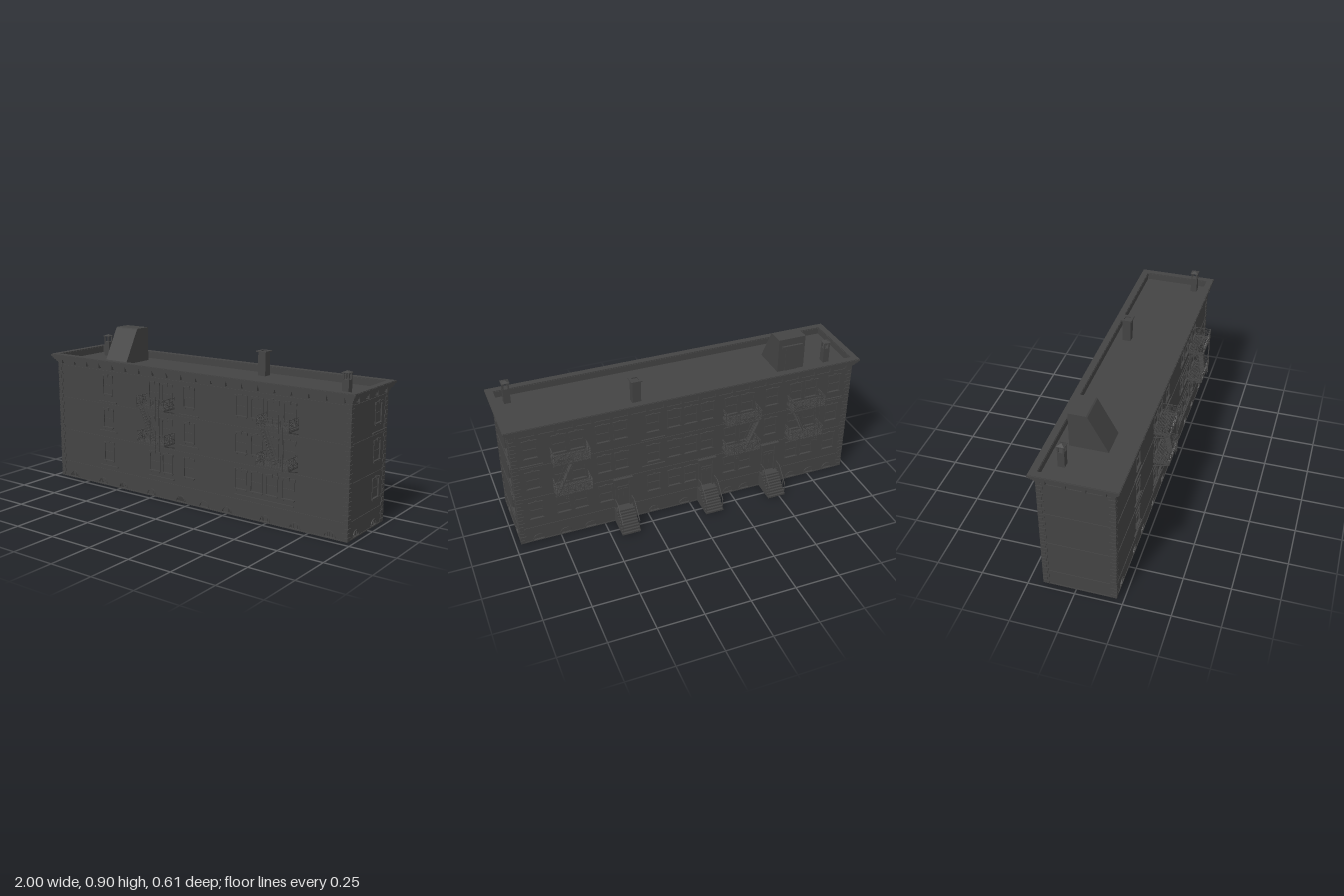
import * as THREE from 'three';
import { mergeGeometries } from 'three/addons/utils/BufferGeometryUtils.js';

const X = 0.968, ZF = 0.21, ZB = -0.172, TOP = 0.745, ROOF = 0.705, THICK = 0.008;
const ZC = (ZF + ZB) / 2, HZ = (ZF - ZB) / 2;
const dark = new THREE.MeshStandardMaterial({ color: 0x444444, side: THREE.DoubleSide, flatShading: true });
const V = (x, y, z) => new THREE.Vector3(x, y, z);

// Box given by centre and size
const box = (x, y, z, w, h, d) => new THREE.BoxGeometry(w, h, d).translate(x, y, z);

// Thin square bar between two points
function bar(a, b, t = 0.003) {
  const dir = b.clone().sub(a);
  const g = new THREE.BoxGeometry(t, dir.length(), t);
  g.applyQuaternion(new THREE.Quaternion().setFromUnitVectors(V(0, 1, 0), dir.normalize()));
  return g.translate((a.x + b.x) / 2, (a.y + b.y) / 2, (a.z + b.z) / 2);
}

function part(name, geos) {
  const m = new THREE.Mesh(mergeGeometries(geos.map(g => (g.index ? g.toNonIndexed() : g))), dark);
  m.name = name;
  return m;
}

function extrude(shape, depth) {
  return new THREE.ExtrudeGeometry(shape, { depth, bevelEnabled: false, curveSegments: 8 });
}

const rectPath = (P, x0, y0, x1, y1) => new P([[x0, y0], [x1, y0], [x1, y1], [x0, y1]].map(p => new THREE.Vector2(...p)));

const archPath = (P, x, y, rx, ry) => {
  const p = new P();
  p.moveTo(x + rx, y);
  p.absellipse(x, y, rx, ry, 0, Math.PI, false, 0);
  p.lineTo(x + rx, y);
  return p;
};

// Sash window with keystone lintel and bracketed sill
function windowParts(x, y) {
  const g = [
    box(x, y, -0.006, 0.074, 0.104, 0.002), box(x, y, -0.003, 0.066, 0.004, 0.004),
    box(x, y + 0.054, 0.002, 0.07, 0.01, 0.006), box(x, y + 0.056, 0.003, 0.014, 0.017, 0.009),
    box(x, y - 0.053, 0.002, 0.078, 0.006, 0.01)];
  for (const s of [-1, 1]) g.push(
    box(x + s * 0.035, y + 0.052, 0.002, 0.011, 0.014, 0.008),
    box(x + s * 0.035, y, 0.001, 0.004, 0.1, 0.004),
    box(x + s * 0.028, y - 0.059, 0.002, 0.008, 0.006, 0.006));
  return g;
}

// Barred basement arch
function archParts(x) {
  const ring = archPath(THREE.Shape, x, 0.008, 0.034, 0.034);
  ring.holes.push(archPath(THREE.Path, x, 0.008, 0.028, 0.027));
  const g = [extrude(ring, 0.004), box(x, 0.022, -0.007, 0.06, 0.03, 0.002)];
  for (let i = -3; i <= 3; i++) {
    const h = 0.027 * Math.sqrt(1 - (i / 4) ** 2);
    g.push(box(x + i * 0.007, 0.008 + h / 2, -0.002, 0.002, h, 0.002));
  }
  return g;
}

// Door with pilasters and hood
function doorParts(x) {
  const g = [box(x, 0.175, -0.006, 0.076, 0.16, 0.002), box(x, 0.225, -0.003, 0.066, 0.004, 0.005),
    box(x, 0.277, 0.008, 0.1, 0.012, 0.016), box(x, 0.287, 0.009, 0.108, 0.008, 0.02)];
  for (const s of [-1, 1]) g.push(
    box(x + s * 0.04, 0.182, 0.003, 0.01, 0.172, 0.008), box(x + s * 0.04, 0.26, 0.006, 0.011, 0.025, 0.012),
    box(x + s * 0.016, 0.16, -0.004, 0.022, 0.1, 0.004));
  return g;
}

// One facade: pierced wall plus its trim, in a frame whose +z points outwards
function facade(name, half, { wins = [], arches = [], doors = [], ledges = [] }) {
  const group = new THREE.Group();
  group.name = name;
  const shape = rectPath(THREE.Shape, -half, 0, half, TOP - 0.005);
  const trim = [];
  for (const [x, y] of wins) {
    shape.holes.push(rectPath(THREE.Path, x - 0.035, y - 0.05, x + 0.035, y + 0.05));
    trim.push(...windowParts(x, y));
  }
  for (const x of doors) shape.holes.push(rectPath(THREE.Path, x - 0.036, 0.097, x + 0.036, 0.27));
  for (const x of arches) shape.holes.push(archPath(THREE.Path, x, 0.008, 0.028, 0.027));
  group.add(part('wall', [extrude(shape, THICK).translate(0, 0, -THICK)]));
  if (trim.length) group.add(part('windows', trim));
  if (arches.length) group.add(part('basementArches', arches.flatMap(archParts)));
  if (doors.length) group.add(part('doors', doors.flatMap(doorParts)));
  if (ledges.length) group.add(part('ledges', ledges.map(([x, y, w]) => box(x, y, 0.003, w, 0.007, 0.008))));
  return group;
}

// Fire escape: two railed platforms, a steep stair from x = up to x = low, a ladder
function fireEscape(x, up, low) {
  const W = 0.095, D = 0.09, g = [];
  const rail = (a, b, y) => {
    const n = Math.round(a.distanceTo(b) / 0.046);
    const at = (t, h) => { const p = a.clone().lerp(b, t); p.y = y + h; return p; };
    for (const h of [0.004, 0.013, 0.056]) g.push(bar(at(0, h), at(1, h)));
    for (let i = 0; i <= n; i++) g.push(bar(at(i / n, 0), at(i / n, 0.06)));
    for (let i = 0; i < n; i++) {
      const l = i / n, r = (i + 1) / n, m = (l + r) / 2, q = 0.25 / n;
      g.push(bar(at(l, 0.013), at(r, 0.056), 0.002), bar(at(r, 0.013), at(l, 0.056), 0.002));
      const ring = [at(m - q, 0.0345), at(m, 0.046), at(m + q, 0.0345), at(m, 0.023)];
      ring.forEach((p, k) => g.push(bar(p, ring[(k + 1) % 4], 0.002)));
    }
  };
  const [h0, h1] = up < low ? [up, low] : [low, up];
  for (const y of [0.335, 0.53]) {
    for (const z of [0.002, 0.05, D]) g.push(box(0, y - 0.003, z, 2 * W, 0.007, 0.003));
    for (let i = 1; i < 12; i++) {
      const z = i * D / 12;
      if (y > 0.5 && z > 0.05) {
        for (const [a, b] of [[-W, h0], [h1, W]]) if (b - a > 0.005) g.push(box((a + b) / 2, y, z, b - a, 0.002, 0.0045));
      } else g.push(box(0, y, z, 2 * W, 0.002, 0.0045));
    }
    rail(V(-W, 0, D), V(W, 0, D), y);
    for (const s of [-1, 1]) {
      rail(V(s * W, 0, 0), V(s * W, 0, D), y);
      g.push(box(s * W, y - 0.003, D / 2, 0.004, 0.007, D));
      g.push(bar(V(s * W, y - 0.005, D), V(s * W, y - 0.03, 0), 0.004));
    }
  }
  // Stair strings, handrails and treads
  for (const z of [0.055, D - 0.003]) {
    g.push(bar(V(up, 0.53, z), V(low, 0.335, z), 0.005));
    g.push(bar(V(up, 0.575, z), V(low, 0.38, z)));
  }
  for (let i = 1; i < 14; i++) {
    const t = i / 14;
    g.push(box(up + (low - up) * t, 0.53 - 0.195 * t, 0.071, 0.013, 0.003, 0.034));
  }
  // Ladder on the outer rail
  const lx = up < low ? 0.05 : -0.05;
  for (const s of [-1, 1]) g.push(bar(V(lx + s * 0.012, 0.3, D + 0.004), V(lx + s * 0.012, 0.61, D + 0.004)));
  for (let y = 0.31; y < 0.4; y += 0.013) g.push(box(lx, y, D + 0.004, 0.024, 0.002, 0.002));
  const m = part('fireEscape', g);
  m.position.x = x;
  return m;
}

// Stoop: solid flight of steps with sloping rails
function stoop(x) {
  const N = 8, pts = [[0, 0], [0, 0.097], [0.042, 0.097]];
  for (let i = 1; i <= N; i++) {
    const z = 0.042 + (i - 1) * 0.0115, y = 0.097 * (1 - i / (N + 1));
    pts.push([z, y], [z + 0.0115, y]);
  }
  pts.push([0.134, 0]);
  const g = [extrude(new THREE.Shape(pts.map(p => new THREE.Vector2(...p))), 0.104).rotateY(-Math.PI / 2).translate(0.052, 0, 0)];
  for (const s of [-0.048, 0.048]) {
    g.push(bar(V(s, 0.155, 0.008), V(s, 0.155, 0.05), 0.004), bar(V(s, 0.155, 0.05), V(s, 0.072, 0.134), 0.004));
    for (const z of [0.008, 0.03, 0.055, 0.08, 0.105, 0.129]) {
      const t = Math.max(0, (z - 0.05) / 0.084);
      g.push(bar(V(s, 0.097 * Math.min(1, 1 - t), z), V(s, 0.155 - 0.083 * t, z)));
    }
  }
  const m = part('stoop', g);
  m.position.x = x;
  return m;
}

// Rectangular ring around the building
function ring(y0, y1, out) {
  const s = rectPath(THREE.Shape, -X - out, -HZ - out, X + out, HZ + out);
  s.holes.push(rectPath(THREE.Path, -X + 0.006, -HZ + 0.006, X - 0.006, HZ - 0.006));
  return extrude(s, y1 - y0).rotateX(-Math.PI / 2).translate(0, y0, ZC);
}

function ventChimney(x, z) {
  const g = [box(x, 0.748, z, 0.036, 0.086, 0.036)];
  for (const a of [-1, 1]) for (const b of [-1, 1]) g.push(box(x + a * 0.014, 0.808, z + b * 0.014, 0.007, 0.036, 0.007));
  g.push(box(x, 0.825, z, 0.044, 0.003, 0.044));
  g.push(new THREE.ConeGeometry(0.03, 0.01, 4).rotateY(Math.PI / 4).translate(x, 0.831, z));
  return part('ventChimney', g);
}

export function createModel() {
  const model = new THREE.Group();
  const rows = [0.205, 0.403, 0.597];
  const grid = cols => cols.flatMap(x => rows.map(y => [x, y]));

  const front = facade('frontFacade', X, {
    wins: grid([-0.583, -0.24, -0.15, 0, 0.34, 0.437, 0.53, 0.63]),
    arches: [-0.87, -0.64, -0.48, -0.27, -0.06, 0.1, 0.25, 0.49, 0.67, 0.87],
    ledges: [...[-0.583, 0].flatMap(x => [[x, 0.5, 0.13], [x, 0.328, 0.13]]),
      [-0.583, 0.12, 0.13], [-0.195, 0.12, 0.18], [0.485, 0.12, 0.36]],
  });
  front.position.z = ZF;
  front.add(fireEscape(-0.195, -0.085, 0.005), fireEscape(0.585, -0.08, 0.005));

  // The back frame is turned round, so its x runs the other way
  const doors = [-0.39, 0.1, 0.485];
  const back = facade('backFacade', X, {
    wins: [...grid([-0.87, -0.72, -0.625, -0.485, -0.21, -0.09, 0.005, 0.24, 0.335, 0.63, 0.725, 0.87]),
      ...doors.flatMap(x => [[x, rows[1]], [x, rows[2]]])],
    arches: [-0.87, -0.72, -0.58, -0.21, -0.03, 0.24, 0.34, 0.64, 0.76, 0.88],
    doors,
    ledges: [[-0.87, 0.5, 0.12], [-0.21, 0.5, 0.13], [-0.21, 0.328, 0.13], [0.87, 0.5, 0.12]],
  });
  back.position.z = ZB;
  back.rotation.y = Math.PI;
  back.add(fireEscape(-0.672, 0, -0.09), fireEscape(0.288, 0.087, 0), fireEscape(0.675, -0.09, -0.005));
  doors.forEach(x => back.add(stoop(x)));

  const right = facade('windowedEnd', HZ, {
    wins: rows.map(y => [ZC + 0.076, y]), arches: [ZC - 0.118, ZC + 0.076], ledges: [[ZC + 0.088, 0.5, 0.145]],
  });
  right.position.set(X, 0, ZC);
  right.rotation.y = Math.PI / 2;
  const left = facade('blankEnd', HZ, {});
  left.position.set(-X, 0, ZC);
  left.rotation.y = -Math.PI / 2;
  model.add(front, back, right, left);

  // Floor bands, stepped cornice and roof deck
  model.add(part('floorBands', [[0, 0.006, 0.003], [0.09, 0.097, 0.003], [0.287, 0.293, 0.003], [0.483, 0.489, 0.003],
    [0.676, 0.682, 0.004]].map(r => ring(...r))));
  model.add(part('cornice', [[0.69, 0.7, 0.006], [0.7, 0.712, 0.012], [0.712, 0.722, 0.02], [0.722, 0.732, 0.026],
    [0.732, 0.742, 0.032], [0.742, TOP, 0.029]].map(r => ring(...r))));
  model.add(part('roofDeck', [box(0, ROOF - 0.002, ZC, 2 * X - 0.008, 0.004, 2 * HZ - 0.008)]));

  // Cornice brackets on all four sides
  const brackets = [];
  for (let i = 0; i < 20; i++) for (const z of [ZF + 0.01, ZB - 0.01])
    brackets.push(box(-0.931 + i * 0.098, 0.711, z, 0.018, 0.034, 0.026));
  for (let i = 0; i < 4; i++) for (const s of [-1, 1])
    brackets.push(box(s * (X + 0.01), 0.711, 0.167 - i * 0.0985, 0.026, 0.034, 0.018));
  model.add(part('corniceBrackets', brackets));

  // Alternating corner quoins
  const quoins = [], pitch = 0.69 / 30;
  for (let i = 0; i < 30; i++) for (const sx of [-1, 1]) for (const [z, sz] of [[ZF, 1], [ZB, -1]]) {
    const w = i % 2 ? 0.034 : 0.024, d = i % 2 ? 0.024 : 0.034, o = 0.004;
    quoins.push(box(sx * (X + o - w / 2), (i + 0.5) * pitch, z + sz * (o - d / 2), w, pitch - 0.004, d));
  }
  model.add(part('quoins', quoins));

  // Roof stair house with sloping front and a rear door
  const profile = new THREE.Shape([[0.098, ROOF], [-0.005, 0.895], [-0.012, 0.9], [-0.103, 0.9], [-0.103, ROOF]].map(p => new THREE.Vector2(...p)));
  model.add(part('stairHouse', [extrude(profile, 0.158).rotateY(-Math.PI / 2).translate(-0.543, 0, 0),
    box(-0.622, 0.854, -0.108, 0.12, 0.012, 0.014), box(-0.622, 0.775, -0.104, 0.07, 0.14, 0.004)]));

  // Chimneys
  const flue = rectPath(THREE.Shape, -0.031, -0.031, 0.031, 0.031);
  flue.holes.push(rectPath(THREE.Path, -0.016, -0.016, 0.016, 0.016));
  model.add(part('mainChimney', [box(0.276, 0.768, -0.096, 0.046, 0.13, 0.046),
    extrude(flue, 0.007).rotateX(-Math.PI / 2).translate(0.276, 0.833, -0.096)]));
  model.add(ventChimney(-0.842, -0.086), ventChimney(0.904, 0.142));
  return model;
}
